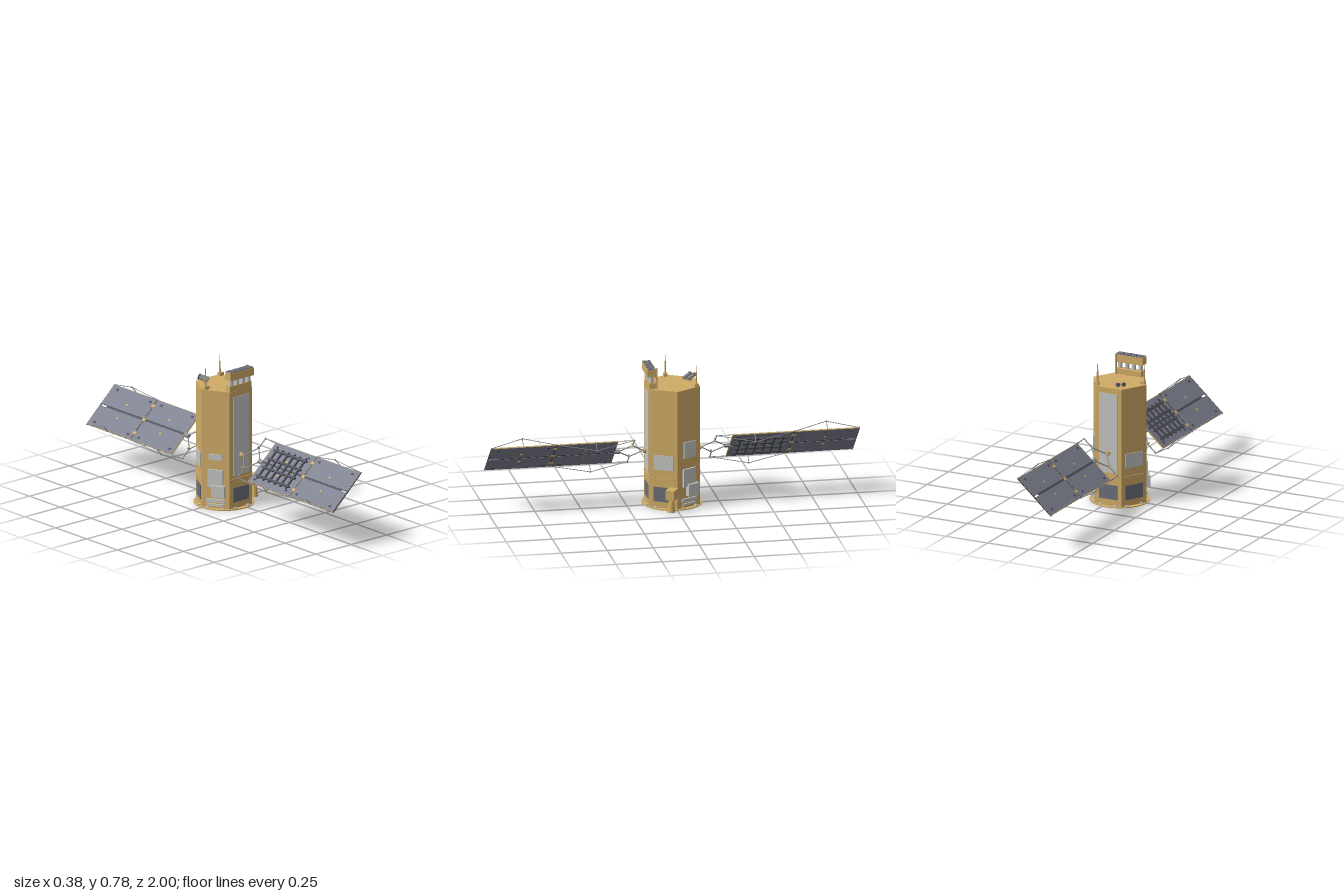
import * as THREE from 'three';

const mat = (name, color) => {
  const m = new THREE.MeshStandardMaterial({ color });
  m.name = name;
  return m;
};

const CX = -0.028;          // body axis
const R = 0.158;            // hexagon corner radius
const APO = R * Math.cos(Math.PI / 6);
const WING_Y = 0.297;
const TILT = THREE.MathUtils.degToRad(42.1);

export function createModel() {
  const gold = mat('gold foil', 0xcfab66);
  const white = mat('light grey radiator', 0xc3c5c3);
  const slate = mat('slate window', 0x6b6e79);
  const solar = mat('solar cells', 0x7a7d8d);
  const dark = mat('dark grey', 0x4b4d55);
  const metal = mat('grey metal', 0x8e9092);

  const model = new THREE.Group();
  model.name = 'satellite';

  const add = (parent, name, geo, material, x = 0, y = 0, z = 0) => {
    const m = new THREE.Mesh(geo, material);
    m.name = name;
    m.position.set(x, y, z);
    parent.add(m);
    return m;
  };
  const box = (parent, name, material, w, h, d, x, y, z) =>
    add(parent, name, new THREE.BoxGeometry(w, h, d), material, x, y, z);
  const cyl = (parent, name, material, rTop, rBot, h, x, y, z, seg = 16) =>
    add(parent, name, new THREE.CylinderGeometry(rTop, rBot, h, seg), material, x, y, z);
  const strut = (parent, name, material, a, b, r) => {
    const p = new THREE.Vector3(...a), q = new THREE.Vector3(...b);
    const m = cyl(parent, name, material, r, r, p.distanceTo(q), 0, 0, 0, 6);
    m.position.copy(p).lerp(q, 0.5);
    m.quaternion.setFromUnitVectors(new THREE.Vector3(0, 1, 0), q.sub(p).normalize());
    return m;
  };

  // Hexagonal body on a round base plate
  const bus = new THREE.Group();
  bus.name = 'body';
  bus.position.x = CX;
  model.add(bus);
  const hex = new THREE.CylinderGeometry(R, R, 0.657, 6, 1, false, Math.PI / 6).toNonIndexed();
  hex.computeVertexNormals();
  add(bus, 'hexagonalHull', hex, gold, 0, 0.3335, 0);
  add(bus, 'basePlate', new THREE.CylinderGeometry(0.163, 0.163, 0.005, 48), [gold, gold, metal], 0, 0.0025, 0);

  // Side faces: local +z points out of the face
  for (let i = 0; i < 6; i++) {
    const face = new THREE.Group();
    face.name = 'sideFace' + (i + 1);
    face.rotation.y = i * Math.PI / 3;
    bus.add(face);
    // plate from y0 to y1 standing d proud of the hull
    const plate = (name, m, w, y0, y1, d, x = 0) =>
      box(face, name, m, w, y1 - y0, d, x, (y0 + y1) / 2, APO + d / 2);
    for (const x of [-0.045, 0.045]) box(face, 'baseClamp', white, 0.014, 0.009, 0.014, x, 0.007, APO + 0.004);

    if (i === 2 || i === 5) {
      // Electronics boxes
      if (i === 2) plate('upperBox', white, 0.084, 0.28, 0.37, 0.006, 0.005);
      else plate('upperBox', white, 0.076, 0.276, 0.307, 0.006);
      plate('tallBox', white, 0.086, 0.122, 0.222, 0.01);
      plate('deepBox', white, 0.072, 0.071, 0.136, 0.024, 0.018);
      plate('slimBox', white, 0.105, 0.038, 0.057, 0.01);
      plate('slimmerBox', white, 0.09, 0.018, 0.03, 0.008);
    } else {
      plate('lowerWindow', slate, 0.11, 0.04, 0.12, 0.003);
      plate('trimBar', gold, 0.14, 0.166, 0.172, 0.004);
      if (i % 3 === 0) plate('tallRadiator', white, 0.11, 0.188, 0.63, 0.003);
      else plate('smallRadiator', white, 0.112, 0.218, 0.298, 0.004);
    }
    if (i === 1) {
      // Thruster box with downward nozzle
      box(face, 'thrusterBox', gold, 0.05, 0.054, 0.07, 0.058, 0.099, 0.168);
      cyl(face, 'thrusterMount', gold, 0.01, 0.01, 0.03, 0.058, 0.099, 0.128);
      cyl(face, 'nozzleCollar', white, 0.015, 0.015, 0.006, 0.058, 0.07, 0.176);
      const nozzle = new THREE.LatheGeometry(
        [[0.0215, 0.002], [0.018, 0.03], [0.013, 0.068], [0.011, 0.068], [0.016, 0.03], [0.0195, 0.002], [0.0215, 0.002]]
          .map(p => new THREE.Vector2(...p)), 20);
      add(face, 'nozzle', nozzle, gold, 0.058, 0, 0.176);
    }
  }

  // Sensor head on the front edge of the deck
  const head = new THREE.Group();
  head.name = 'sensorHead';
  model.add(head);
  box(head, 'sensorPlinth', gold, 0.152, 0.031, 0.035, -0.027, 0.6775, 0.1185);
  box(head, 'sensorHousing', gold, 0.165, 0.042, 0.046, -0.0275, 0.749, 0.125);
  for (let i = 0; i < 4; i++) {
    const x = -0.0875 + i * 0.0405;
    cyl(head, 'sensorTube', white, 0.0125, 0.0125, 0.036, x, 0.711, 0.125);
    box(head, 'sensorAperture', slate, 0.035, 0.004, 0.04, x, 0.772, 0.125);
  }
  strut(head, 'sensorPost', gold, [0.046, 0.66, 0.098], [0.046, 0.775, 0.098], 0.005);

  // Whip antennas
  for (const [x, z] of [[-0.168, 0.01], [0.046, -0.118]]) {
    box(model, 'antennaFoot', gold, 0.026, 0.018, 0.02, x + 0.006, 0.67, z);
    cyl(model, 'antennaMast', gold, 0.004, 0.005, 0.075, x, 0.707, z, 10);
    cyl(model, 'antennaTip', gold, 0.0018, 0.0018, 0.035, x, 0.76, z, 8);
  }

  // Pair of star trackers at the rear of the deck
  for (const o of [-1, 1]) {
    const x = -0.083 + o * 0.012, z = -0.103 - o * 0.009;
    strut(model, 'starTracker', metal, [x + 0.016, 0.672, z + 0.021], [x - 0.012, 0.685, z - 0.016], 0.01);
    strut(model, 'starTrackerLens', dark, [x - 0.012, 0.685, z - 0.016], [x - 0.017, 0.687, z - 0.022], 0.011);
    box(model, 'starTrackerFoot', gold, 0.016, 0.014, 0.016, x + 0.004, 0.667, z + 0.006);
  }

  // Solar wings: local x runs across the panel, y is its normal, z along the wing
  const wings = new THREE.Group();
  wings.name = 'solarWings';
  wings.position.set(CX, WING_Y, 0);
  wings.rotation.z = TILT;
  model.add(wings);
  const U = 0.134;

  for (const s of [1, -1]) {
    const wing = new THREE.Group();
    wing.name = s > 0 ? 'frontWing' : 'rearWing';
    wings.add(wing);

    // Drive hub and diamond yoke
    const hub = cyl(wing, 'driveHub', gold, 0.014, 0.014, 0.02, 0, 0, s * 0.146);
    hub.rotation.x = Math.PI / 2;
    strut(wing, 'yokeRoot', white, [0, 0, s * 0.15], [0, 0, s * 0.163], 0.008);
    for (const k of [-1, 1]) {
      strut(wing, 'yokeInnerStrut', metal, [0, 0, s * 0.158], [k * 0.07, 0, s * 0.223], 0.003);
      strut(wing, 'yokeOuterStrut', metal, [k * 0.07, 0, s * 0.223], [0, 0, s * 0.292], 0.003);
      strut(wing, 'yokeBar', metal, [k * 0.07, 0, s * 0.223], [k * U, 0, s * 0.223], 0.003);
      box(wing, 'yokeLug', gold, 0.008, 0.018, 0.008, k * 0.07, 0.004, s * 0.223);
    }
    box(wing, 'yokeHinge', metal, 0.02, 0.016, 0.035, 0, 0, s * 0.3);

    // Two panels, each of two cell-covered halves beside a spine
    for (const [z0, z1] of [[0.31, 0.642], [0.65, 0.998]]) {
      const len = z1 - z0, zc = s * (z0 + z1) / 2, outer = z1 > 0.9;
      for (const k of [-1, 1]) {
        const xc = k * (U + 0.008) / 2;
        box(wing, 'panelFrame', gold, U - 0.008, 0.006, len, xc, 0, zc);
        for (const f of [-1, 1]) {
          box(wing, 'solarCells', solar, U - 0.012, 0.001, len - 0.005, xc, f * 0.0035, zc);
          for (const z of [z0 + 0.035, z1 - 0.045])
            box(wing, 'holdDownClamp', dark, 0.012, 0.003, 0.016, k * 0.108, f * 0.0045, s * z);
          box(wing, 'goldTab', gold, 0.012, 0.002, 0.014, k * 0.045, f * 0.0045, zc);
        }
      }
      // the outer spine stops short to leave a slot near the wing tip
      const spineEnd = outer ? z1 - 0.05 : z1;
      box(wing, 'panelSpine', dark, 0.016, 0.006, spineEnd - z0, 0, 0, s * (z0 + spineEnd) / 2);
      for (const k of [-1, 1]) box(wing, 'spineRail', solar, 0.004, 0.009, len, k * 0.008, 0, zc);
    }
    box(wing, 'tipBar', dark, 2 * U, 0.006, 0.005, 0, 0, s * 0.9975);
    box(wing, 'hingeLine', dark, 2 * U, 0.006, 0.01, 0, 0, s * 0.646);
    for (const x of [-0.09, 0, 0.09]) box(wing, 'panelHinge', gold, 0.018, 0.012, 0.022, x, 0, s * 0.646);

    // Bracing along both long edges
    for (const k of [-1, 1]) {
      const path = [[0, 0.223], [-0.048, 0.43], [0, 0.646], [0.048, 0.825], [0, 0.997]]
        .map(([n, z]) => [k * U, n, s * z]);
      path.forEach((p, i) => {
        if (i) strut(wing, 'edgeBrace', metal, path[i - 1], p, 0.002);
        add(wing, 'braceKnob', new THREE.SphereGeometry(0.005, 10, 8), metal, ...p);
      });
      strut(wing, 'edgeLink', metal, path[0], [k * U, 0, s * 0.31], 0.002);
      for (const i of [1, 3]) strut(wing, 'bracePost', metal, path[i], [k * U, 0, path[i][2]], 0.002);
    }

    // Lattice antenna, on the upper side in front and the lower side at the rear
    const lattice = new THREE.Group();
    lattice.name = 'latticeAntenna';
    lattice.position.set(0, s * 0.009, s * 0.475);
    wing.add(lattice);
    for (let i = 0; i < 4; i++) box(lattice, 'latticeRail', dark, 0.012, 0.01, 0.265, -0.084 + i * 0.056, 0, 0);
    for (let i = 0; i < 6; i++) box(lattice, 'latticeRung', dark, 0.2, 0.009, 0.01, 0, 0, -0.115 + i * 0.046);
  }

  return model;
}
